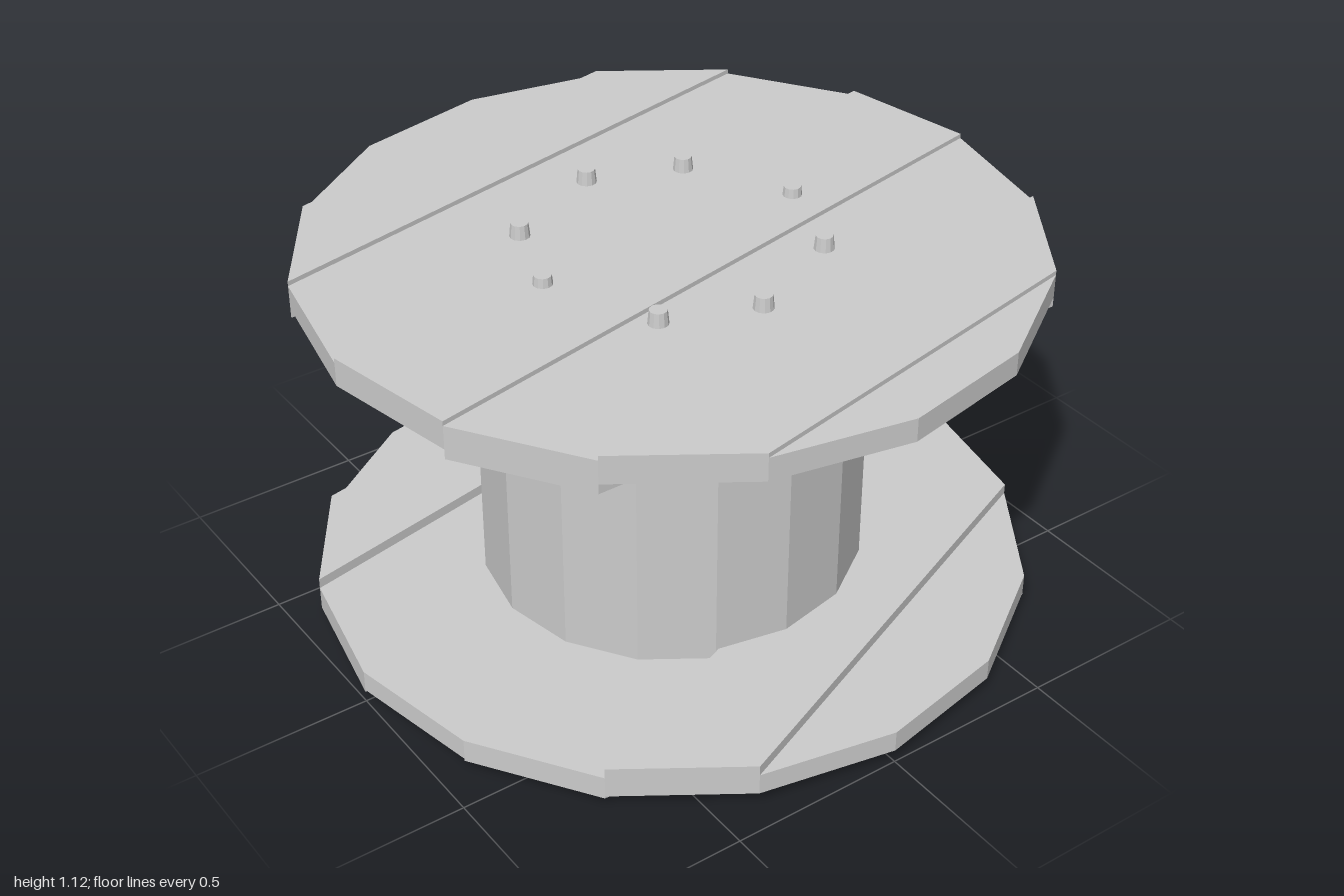
import * as THREE from 'three';

const material = new THREE.MeshStandardMaterial({ color: 0xcccccc, flatShading: true });
const SIDES = 16;

// Corner k of the flange outline, counted from +x towards +z
const corner = (k) => {
  const a = (k / SIDES) * Math.PI * 2;
  return [Math.cos(a), Math.sin(a)];
};

// Upright prism over the given flange corners
function prism(name, corners, y0, y1) {
  const shape = new THREE.Shape(corners.map((k) => {
    const [x, z] = corner(k);
    return new THREE.Vector2(x, -z);
  }));
  const geometry = new THREE.ExtrudeGeometry(shape, { depth: y1 - y0, bevelEnabled: false });
  geometry.rotateX(-Math.PI / 2);
  geometry.translate(0, y0, 0);
  const mesh = new THREE.Mesh(geometry, material);
  mesh.name = name;
  return mesh;
}

// Flange core with raised planks on both faces
function flange(name, y0, y1, above, yAbove, below, yBelow) {
  const group = new THREE.Group();
  group.name = name;
  const all = Array.from({ length: SIDES }, (_, k) => k);
  group.add(prism('flangeCore', all, y0, y1));
  above.forEach((c) => group.add(prism('upperPlank', c, y1, yAbove)));
  below.forEach((c) => group.add(prism('lowerPlank', c, yBelow, y0)));
  return group;
}

// Ring of eight tapered bolts, made for the upper face
function boltRing(name) {
  const group = new THREE.Group();
  group.name = name;
  const geometry = new THREE.CylinderGeometry(0.024, 0.029, 0.05, 12);
  for (const deg of [0, 40, 90, 130, 180, 220, 270, 310]) {
    const a = THREE.MathUtils.degToRad(deg);
    const bolt = new THREE.Mesh(geometry, material);
    bolt.name = 'bolt';
    bolt.position.set(0.4 * Math.cos(a), -0.025, 0.4 * Math.sin(a));
    group.add(bolt);
  }
  return group;
}

export function createModel() {
  const model = new THREE.Group();
  model.name = 'cableSpool';

  // Slanted planks on the outer face, straight ones on the inner face
  model.add(flange('topFlange', 1.013, 1.08,
    [[9, 10, 5, 6], [11, 12, 3, 4], [13, 14, 1, 2]], 1.093,
    [[10, 11, 5, 6], [13, 14, 2, 3]], 0.985));

  model.add(flange('bottomFlange', 0.038, 0.1,
    [[9, 10, 5, 6], [12, 13, 1, 2]], 0.13,
    [[13, 14, 2, 3], [11, 12, 4, 5], [9, 10, 6, 7]], 0.031));

  // Drum between the flanges
  const drum = new THREE.Mesh(
    new THREE.CylinderGeometry(0.535, 0.535, 0.95, SIDES, 1, true), material);
  drum.name = 'drum';
  drum.position.y = 0.56;
  model.add(drum);

  // Bolts on both outer faces
  const topBolts = boltRing('topBolts');
  topBolts.position.y = 1.12;
  const bottomBolts = boltRing('bottomBolts');
  bottomBolts.rotation.x = Math.PI;
  model.add(topBolts, bottomBolts);

  return model;
}
